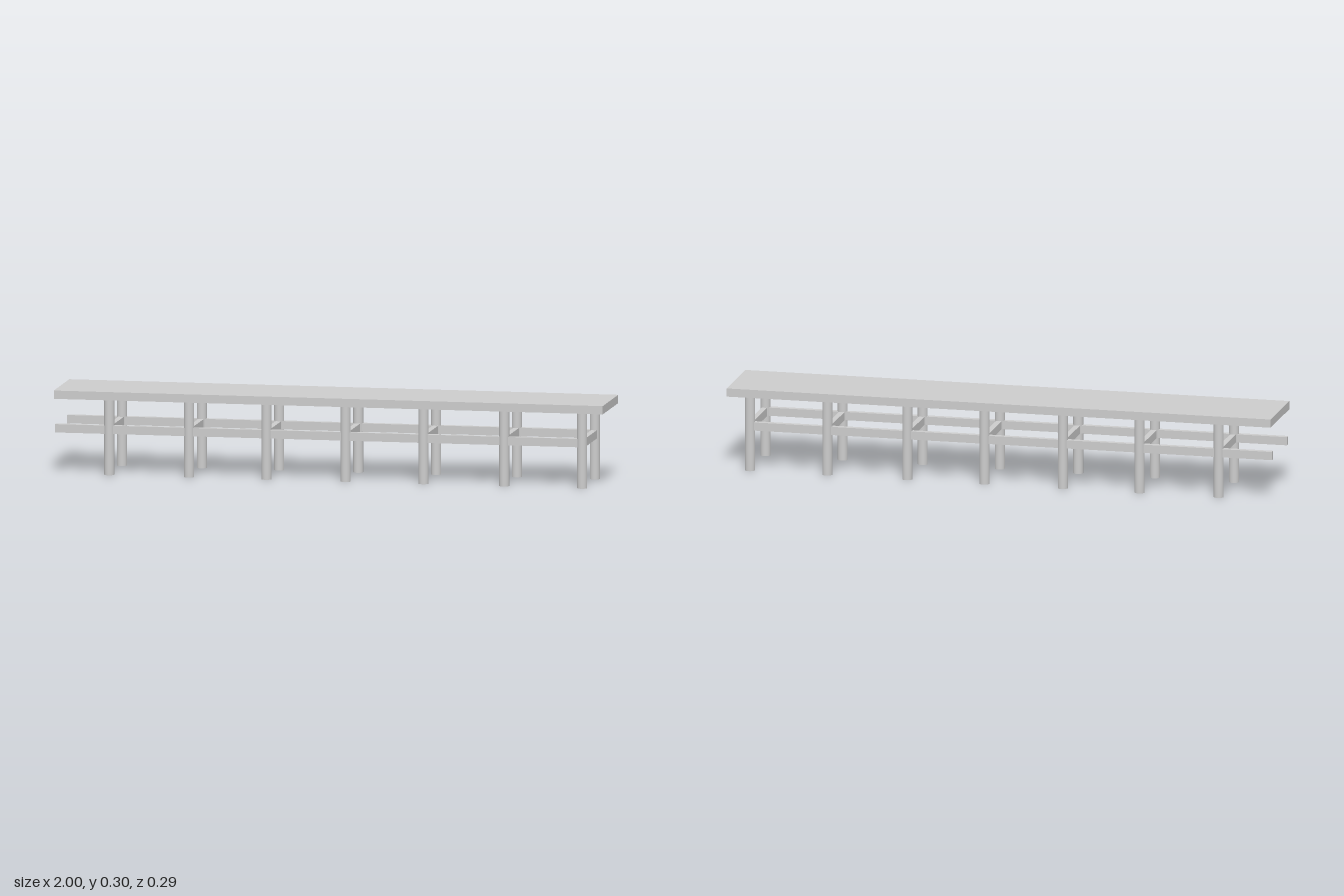
import * as THREE from 'three';

export function createModel() {
  const model = new THREE.Group();
  const material = new THREE.MeshStandardMaterial({ color: 0xcccccc });

  function add(name, geometry, x, y, z) {
    const mesh = new THREE.Mesh(geometry, material);
    mesh.name = name;
    mesh.position.set(x, y, z);
    model.add(mesh);
  }

  const legXs = [-0.803, -0.512, -0.23, 0.058, 0.342, 0.636, 0.92];
  const legZ = 0.117;
  const legHeight = 0.273;
  const railY = 0.163;

  // Long flat top
  add('tabletop', new THREE.BoxGeometry(2, 0.03, 0.287), 0, 0.287, 0);

  // Lengthwise rails, overhanging the legs at the -x end only
  const railGeometry = new THREE.BoxGeometry(1.92, 0.03, 0.02);
  for (const side of [1, -1]) {
    add(side > 0 ? 'frontRail' : 'backRail', railGeometry, -0.04, railY, side * 0.115);
  }

  // Pairs of round legs, each joined by a crossbar
  const legGeometry = new THREE.CylinderGeometry(0.018, 0.018, legHeight, 32);
  const crossbarGeometry = new THREE.BoxGeometry(0.02, 0.03, 2 * legZ);
  for (const x of legXs) {
    add('frontLeg', legGeometry, x, legHeight / 2, legZ);
    add('backLeg', legGeometry, x, legHeight / 2, -legZ);
    add('crossbar', crossbarGeometry, x, railY, 0);
  }

  return model;
}
